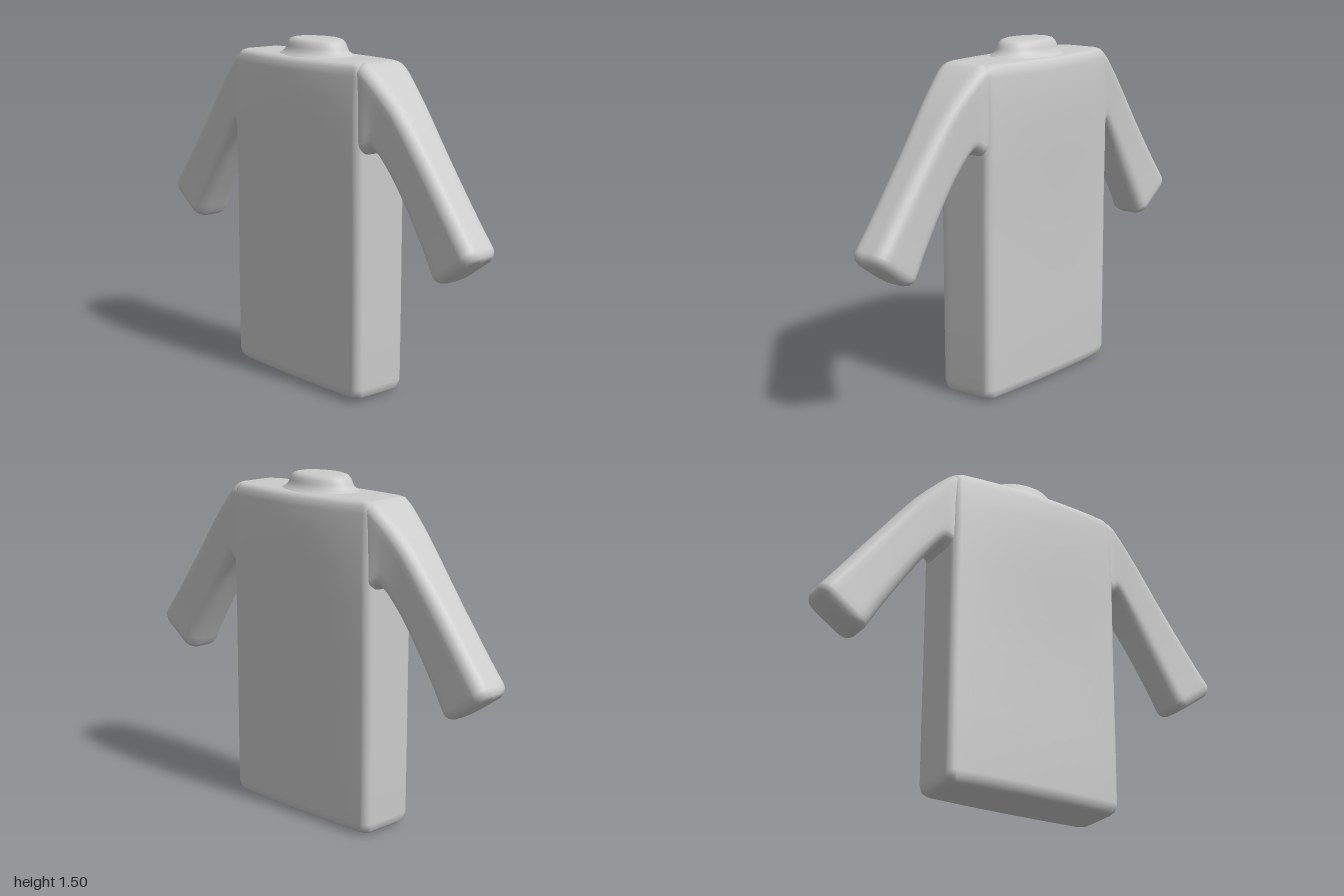
import * as THREE from 'three';

const material = new THREE.MeshStandardMaterial({ color: 0xcccccc });

// Counter-clockwise rounded rectangle as [u, v] pairs, with subdivided sides
function roundRect(hu, hv, radius, sides = 10, arc = 5) {
  const r = Math.min(radius, hu * 0.9, hv * 0.9);
  const corners = [[1, 1], [-1, 1], [-1, -1], [1, -1]].map(([su, sv], k) =>
    Array.from({ length: arc + 1 }, (_, i) => {
      const a = (k + i / arc) * Math.PI / 2;
      return [su * (hu - r) + r * Math.cos(a), sv * (hv - r) + r * Math.sin(a)];
    }));
  const points = [];
  corners.forEach((corner, k) => {
    points.push(...corner);
    const from = corner[arc], to = corners[(k + 1) % 4][0];
    for (let i = 1; i < sides; i++) {
      const t = i / sides;
      points.push([from[0] + (to[0] - from[0]) * t, from[1] + (to[1] - from[1]) * t]);
    }
  });
  return points;
}

// Smooth closed skin over a list of rings of Vector3
function loft(rings) {
  const n = rings[0].length;
  const center = ring => ring.reduce((c, p) => c.add(p), new THREE.Vector3()).divideScalar(n);
  const last = rings.length - 1;
  const points = [...rings.flat(), center(rings[0]), center(rings[last])];
  const index = [];
  for (let j = 0; j < n; j++) {
    const k = (j + 1) % n;
    for (let i = 0; i < last; i++) {
      const a = i * n + j, b = i * n + k;
      index.push(a, b, b + n, a, b + n, a + n);
    }
    index.push(points.length - 2, k, j);
    index.push(points.length - 1, last * n + j, last * n + k);
  }
  const geometry = new THREE.BufferGeometry().setFromPoints(points);
  geometry.setIndex(index);
  geometry.computeVertexNormals();
  return geometry;
}

// Torso: horizontal sections [height, inset, half depth, taper towards the sides]
function torsoGeometry() {
  const levels = [
    [0, 0.1, 0.146, 0.1], [0, 0.045, 0.146, 0.1], [0.005, 0.022, 0.146, 0.1],
    [0.02, 0.007, 0.147, 0.1], [0.05, 0.001, 0.148, 0.1], [0.3, 0, 0.148, 0.1],
    [0.6, 0, 0.15, 0.11], [0.8, 0, 0.155, 0.14], [1.0, 0, 0.165, 0.18],
    [1.15, 0, 0.171, 0.21], [1.28, 0, 0.173, 0.23], [1.38, 0, 0.169, 0.24],
    [1.41, 0.005, 0.166, 0.24], [1.425, 0.016, 0.164, 0.24],
    [1.431, 0.035, 0.163, 0.24], [1.433, 0.1, 0.163, 0.24],
  ];
  const width = 0.418;
  return loft(levels.map(([y, inset, depth, taper]) =>
    roundRect(depth - inset, width - inset, 0.035).map(([z, x]) =>
      new THREE.Vector3(x - 0.008, y, z * (1 - taper * (x / width) ** 2)))));
}

// Sleeve: sections spanned between an upper and a lower edge line
function sleeveGeometry(side) {
  // x, y and half depth along the upper edge
  const upper = new THREE.CatmullRomCurve3([
    [0.35, 1.424, 0.122], [0.41, 1.428, 0.127], [0.5, 1.355, 0.113], [0.6, 1.25, 0.099],
    [0.75, 1.06, 0.09], [0.9, 0.865, 0.088], [0.985, 0.757, 0.09],
  ].map(p => new THREE.Vector3(...p)), false, 'catmullrom');
  const lower = new THREE.CatmullRomCurve3([
    [0.36, 1.1], [0.41, 1.06], [0.455, 1.08], [0.52, 1.01],
    [0.6, 0.895], [0.71, 0.725], [0.778, 0.612],
  ].map(([x, y]) => new THREE.Vector3(x, y, 0)), false, 'catmullrom');

  const section = (o, i, depth, inset = 0) => {
    const half = Math.hypot(o.x - i.x, o.y - i.y) / 2;
    const ring = roundRect(half - inset, depth - inset, 0.05, 6).map(([u, z]) => {
      const t = 0.5 + u / half / 2;
      return new THREE.Vector3(side * (i.x + (o.x - i.x) * t), i.y + (o.y - i.y) * t, z);
    });
    return side > 0 ? ring : ring.reverse();
  };
  const rings = [];
  for (let k = 0; k <= 24; k++) {
    const o = upper.getPoint(k / 24);
    rings.push(section(o, lower.getPoint(k / 24), o.z));
  }
  // rounded cuff
  const o = upper.getPoint(1), i = lower.getPoint(1);
  for (const [step, inset] of [[0.014, 0.002], [0.03, 0.009], [0.04, 0.022], [0.043, 0.05]]) {
    const move = new THREE.Vector3(0.57, -0.82, 0).multiplyScalar(step);
    rings.push(section(o.clone().add(move), i.clone().add(move), o.z, inset));
  }
  return loft(rings);
}

// Collar: low oval plug with a flared foot
function collarGeometry() {
  const profile = [
    [0.205, 1.428], [0.185, 1.438], [0.168, 1.45], [0.16, 1.466], [0.152, 1.483],
    [0.138, 1.496], [0.115, 1.502], [0.06, 1.503], [0, 1.503],
  ].map(p => new THREE.Vector2(...p));
  const geometry = new THREE.LatheGeometry(profile, 48);
  geometry.scale(1, 1, 0.66);
  geometry.translate(-0.012, 0, 0);
  return geometry;
}

export function createModel() {
  const model = new THREE.Group();
  model.name = 'shirt';
  const add = (name, geometry) => {
    const mesh = new THREE.Mesh(geometry, material);
    mesh.name = name;
    model.add(mesh);
  };
  add('torso', torsoGeometry());
  add('leftSleeve', sleeveGeometry(1));
  add('rightSleeve', sleeveGeometry(-1));
  add('collar', collarGeometry());
  return model;
}
